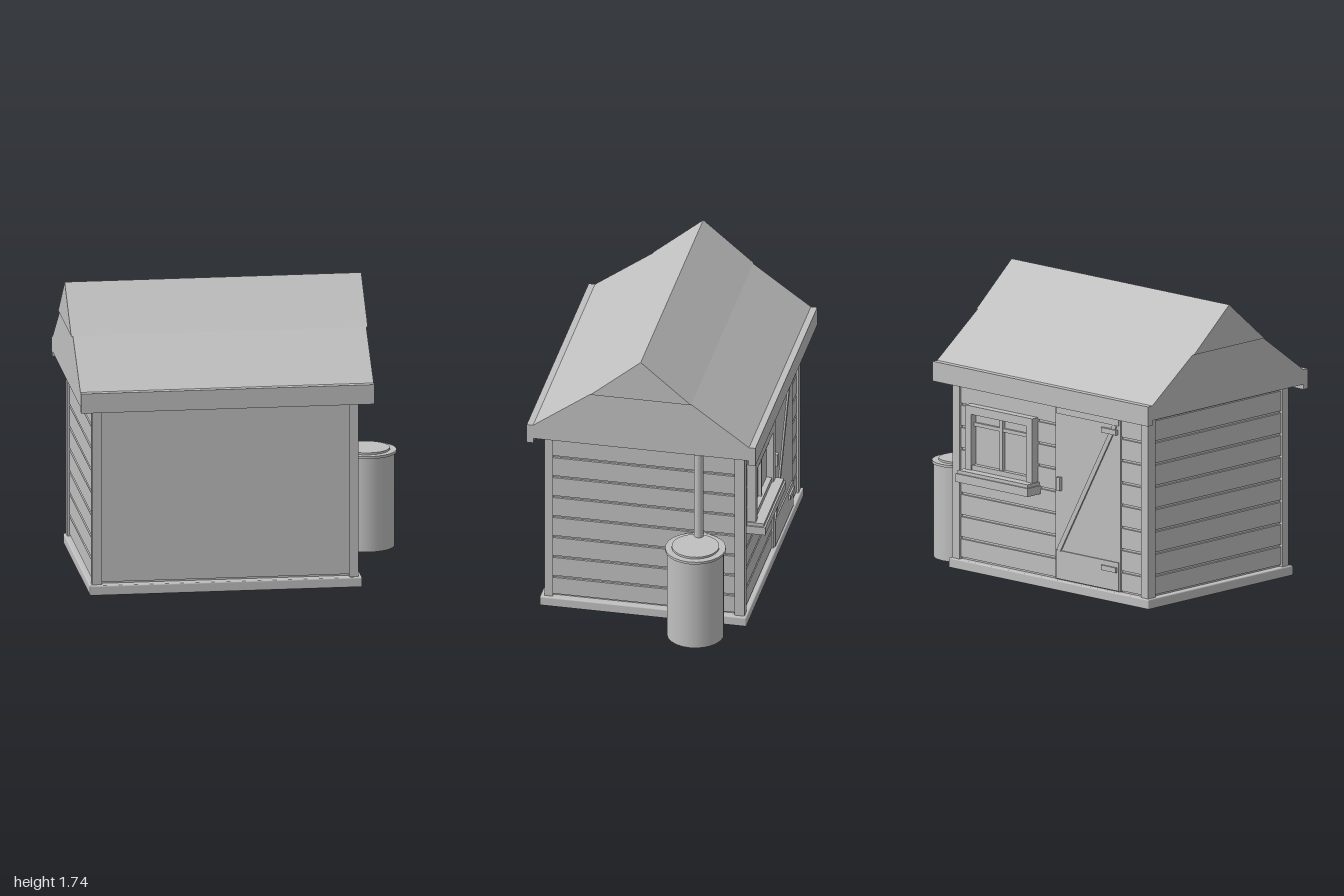
import * as THREE from 'three';
import { RoundedBoxGeometry } from 'three/addons/geometries/RoundedBoxGeometry.js';

const grey = new THREE.MeshStandardMaterial({ color: 0xc0c0c0 });
grey.name = 'plain grey';

export function createModel() {
  const shed = new THREE.Group();
  shed.name = 'gardenShed';

  const add = (name, geometry, parent = shed) => {
    const mesh = new THREE.Mesh(geometry, grey);
    mesh.name = name;
    parent.add(mesh);
    return mesh;
  };
  // Box given by its limits on each axis
  const box = (name, x0, x1, y0, y1, z0, z1, parent) => {
    const mesh = add(name, new THREE.BoxGeometry(x1 - x0, y1 - y0, z1 - z0), parent);
    mesh.position.set((x0 + x1) / 2, (y0 + y1) / 2, (z0 + z1) / 2);
    return mesh;
  };
  const group = (name) => {
    const g = new THREE.Group();
    g.name = name;
    shed.add(g);
    return g;
  };
  // Outline in (z, y), extruded along x from x0 to x1
  const prism = (name, points, x0, x1, parent) => {
    const shape = new THREE.Shape(points.map(([z, y]) => new THREE.Vector2(-z, y)));
    const g = new THREE.ExtrudeGeometry(shape, { depth: x1 - x0, bevelEnabled: false });
    g.rotateY(Math.PI / 2);
    g.translate(x0, 0, 0);
    return add(name, g, parent);
  };

  // Floor slab and wall core
  const base = add('base', new RoundedBoxGeometry(1.605, 0.06, 1.235, 2, 0.008));
  base.position.set(-0.128, 0.03, 0.0125);
  box('wallCore', -0.89, 0.63, 0.05, 1.16, -0.565, 0.575);
  box('frontPanel', -0.855, 0.6, 0.072, 1.15, 0.57, 0.59);

  // Corner posts
  const posts = group('cornerPosts');
  for (const [x0, x1] of [[-0.915, -0.855], [0.6, 0.655]])
    for (const [z0, z1] of [[-0.59, -0.53], [0.555, 0.605]])
      box('cornerPost', x0, x1, 0.06, 1.155, z0, z1, posts);

  // Horizontal boards with narrow gaps on both ends and the back
  const boards = group('wallBoards');
  const pitch = 0.1335;
  for (let i = 0; i < 8; i++) {
    const y0 = 0.072 + i * pitch - (i ? 0.012 : 0);
    const y1 = 0.072 + (i + 1) * pitch - 0.026;
    box('rightBoard', 0.62, 0.643, y0, y1, -0.54, 0.565, boards);
    box('leftBoard', -0.903, -0.88, y0, y1, -0.54, 0.565, boards);
    box('backBoard', -0.865, 0.61, y0, y1, -0.578, -0.555, boards);
  }

  // Roof: gabled lower part, slightly longer ridge part, eave boards
  const roof = group('roof');
  prism('lowerRoof', [[0.655, 1.15], [0.655, 1.238], [0.31, 1.487], [-0.29, 1.487],
    [-0.635, 1.238], [-0.635, 1.15]], -0.99, 0.738, roof);
  prism('ridgeRoof', [[0.31, 1.487], [0.01, 1.738], [-0.29, 1.487]], -1, 0.747, roof);
  box('frontEave', -0.99, 0.738, 1.12, 1.238, 0.653, 0.693, roof);
  box('backEave', -0.99, 0.738, 1.12, 1.238, -0.673, -0.633, roof);

  // Window on the back wall
  const windowGroup = group('window');
  box('pane', 0.0, 0.5, 0.62, 0.98, -0.588, -0.56, windowGroup);
  for (const [x0, x1] of [[-0.02, 0.03], [0.47, 0.52]])
    box('windowSide', x0, x1, 0.61, 1.005, -0.63, -0.56, windowGroup);
  box('windowHead', 0.03, 0.47, 0.955, 1.005, -0.63, -0.56, windowGroup);
  box('windowFoot', 0.03, 0.47, 0.61, 0.65, -0.62, -0.56, windowGroup);
  box('uprightBar', 0.237, 0.263, 0.65, 0.955, -0.607, -0.56, windowGroup);
  box('crossBar', 0.03, 0.47, 0.88, 0.902, -0.603, -0.56, windowGroup);
  box('sill', -0.04, 0.54, 0.55, 0.6, -0.69, -0.56, windowGroup);
  box('sillTop', -0.03, 0.53, 0.6, 0.62, -0.68, -0.56, windowGroup);

  // Door with rails, a diagonal brace, hinges and a handle
  const door = group('door');
  box('doorPanel', -0.69, -0.17, 0.065, 1.15, -0.588, -0.555, door);
  box('bottomRail', -0.68, -0.18, 0.07, 0.24, -0.596, -0.58, door);
  box('topRail', -0.68, -0.18, 1.06, 1.14, -0.596, -0.58, door);
  const rise = 0.82, run = 0.45;
  const brace = add('brace', new THREE.BoxGeometry(0.03, Math.hypot(rise, run), 0.015), door);
  brace.position.set(-0.425, 0.65, -0.59);
  brace.rotation.z = Math.atan2(run, rise);
  for (const y of [0.195, 1.02])
    box('hinge', -0.67, -0.55, y - 0.015, y + 0.015, -0.607, -0.58, door);
  box('handle', -0.22, -0.19, 0.6, 0.68, -0.607, -0.58, door);

  // Rain barrel and downpipe
  const barrel = group('rainBarrel');
  const drum = (name, r, y0, y1, x, z, parent) => {
    const mesh = add(name, new THREE.CylinderGeometry(r, r, y1 - y0, 24), parent);
    mesh.position.set(x, (y0 + y1) / 2, z);
  };
  drum('barrelBody', 0.167, 0, 0.57, 0.82, -0.333, barrel);
  drum('barrelRim', 0.178, 0.565, 0.58, 0.82, -0.333, barrel);
  drum('barrelLid', 0.139, 0.575, 0.592, 0.82, -0.333, barrel);
  drum('downpipe', 0.027, 0.58, 1.155, 0.698, -0.327, barrel);

  return shed;
}
